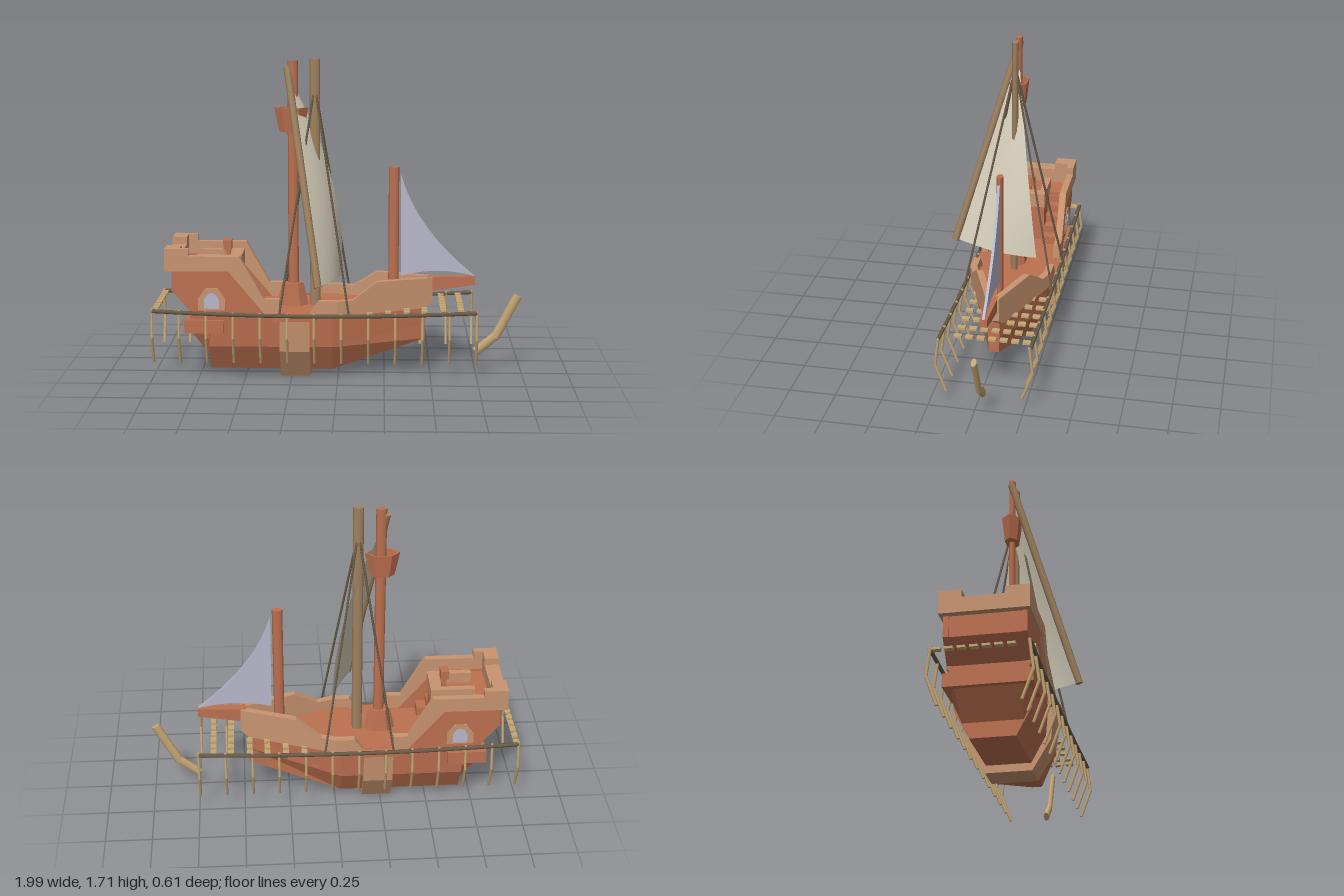
import * as THREE from 'three';
import { toCreasedNormals } from 'three/addons/utils/BufferGeometryUtils.js';

const material = (name, color, side = THREE.FrontSide) => {
  const m = new THREE.MeshStandardMaterial({ color, side });
  m.name = name;
  return m;
};

export function createModel() {
  const redWood = material('red wood', 0xbc7050);
  const tanWood = material('tan trim', 0xc89470);
  const mastWood = material('grey brown wood', 0xa08260);
  const paleWood = material('pale wood', 0xc4a674);
  const darkWood = material('dark wood and rope', 0x6b5c48);
  const canvas = material('main canvas', 0xd9d2be, THREE.DoubleSide);
  const blueCloth = material('blue grey cloth', 0xb8b8cc, THREE.DoubleSide);

  const model = new THREE.Group();
  model.name = 'sailingShip';
  const ship = new THREE.Group(); // everything is symmetric about the keel line
  ship.name = 'ship';
  ship.position.z = -0.045;
  model.add(ship);

  const V = (p) => new THREE.Vector3(...p);
  const add = (name, geometry, mat) => {
    const mesh = new THREE.Mesh(geometry, mat);
    mesh.name = name;
    ship.add(mesh);
    return mesh;
  };
  // Box from its limits on each axis
  const box = (name, x0, x1, y0, y1, z0, z1, mat) => {
    const mesh = add(name, new THREE.BoxGeometry(x1 - x0, y1 - y0, Math.abs(z1 - z0)), mat);
    mesh.position.set((x0 + x1) / 2, (y0 + y1) / 2, (z0 + z1) / 2);
    return mesh;
  };
  // Straight round bar between two points
  const rod = (name, a, b, r, mat, sides = 8) => {
    const from = V(a), dir = V(b).sub(from);
    const mesh = add(name, new THREE.CylinderGeometry(r, r, dir.length(), sides), mat);
    mesh.position.copy(from).addScaledVector(dir, 0.5);
    mesh.quaternion.setFromUnitVectors(new THREE.Vector3(0, 1, 0), dir.normalize());
    return mesh;
  };
  // Faceted solid through equal rings of points, with end caps
  const loft = (name, rings, mat) => {
    const n = rings[0].length, tris = [];
    for (let i = 0; i < rings.length - 1; i++) {
      for (let j = 0; j < n; j++) {
        const k = (j + 1) % n, a = rings[i], b = rings[i + 1];
        tris.push([a[j], b[j], b[k]], [a[j], b[k], a[k]]);
      }
    }
    const last = rings[rings.length - 1];
    for (let j = 1; j < n - 1; j++) {
      tris.push([rings[0][0], rings[0][j], rings[0][j + 1]], [last[0], last[j + 1], last[j]]);
    }
    let volume = 0;
    for (const [a, b, c] of tris) volume += V(a).dot(V(b).cross(V(c)));
    if (volume < 0) tris.forEach((t) => t.reverse());
    const g = new THREE.BufferGeometry();
    g.setAttribute('position', new THREE.Float32BufferAttribute(tris.flat(2), 3));
    g.computeVertexNormals();
    return add(name, g, mat);
  };
  // Side-on outline given thickness between two z values
  const plate = (name, points, z0, z1, mat) => {
    const shape = new THREE.Shape(points.map(([x, y]) => new THREE.Vector2(x, y)));
    const g = new THREE.ExtrudeGeometry(shape, { depth: Math.abs(z1 - z0), bevelEnabled: false });
    g.translate(0, 0, Math.min(z0, z1));
    return add(name, g, mat);
  };

  // Hull: each station is a six-cornered section
  const section = (x, top, topW, midY, midW, keelY, keelW) => [
    [x, top, topW], [x, midY, midW], [x, keelY, keelW],
    [x, keelY, -keelW], [x, midY, -midW], [x, top, -topW]];
  loft('hull', [
    section(-0.79, 0.37, 0.2, 0.31, 0.195, 0.26, 0.17),
    section(-0.69, 0.37, 0.205, 0.22, 0.195, 0.12, 0.15),
    section(-0.689, 0.37, 0.205, 0.18, 0.19, 0.04, 0.115),
    section(-0.03, 0.37, 0.205, 0.18, 0.19, 0.04, 0.115),
    section(0.47, 0.37, 0.032, 0.28, 0.03, 0.19, 0.027)], redWood);
  loft('hullBand', [-0.31, -0.15].map((x) => section(x, 0.34, 0.232, 0.16, 0.215, 0, 0.12)), tanWood);
  box('bandCap', -0.345, -0.11, 0.33, 0.368, -0.235, 0.235, redWood);
  box('sternLedge', -0.82, -0.61, 0.26, 0.33, -0.222, 0.222, redWood);

  // Bow bulwarks: x, outer half width, bottom, top
  const bow = [[-0.15, 0.225, 0.36, 0.37], [-0.1, 0.225, 0.36, 0.44], [0, 0.225, 0.36, 0.44],
    [0.08, 0.195, 0.36, 0.44], [0.21, 0.147, 0.36, 0.53], [0.47, 0.05, 0.365, 0.53], [0.51, 0.035, 0.4, 0.53]];
  for (const s of [1, -1]) {
    loft('bowBulwark', bow.map(([x, w, y0, y1]) => {
      const inner = Math.max(w - 0.038, 0) * s;
      return [[x, y0, w * s], [x, y1, w * s], [x, y1, inner], [x, y0, inner]];
    }), tanWood);
  }
  loft('bowDeck', [[-0.1, 0.2], [0, 0.2], [0.48, 0.03]].map(([x, w]) => [
    [x, 0.365, w], [x, 0.385, w], [x, 0.385, -w], [x, 0.365, -w]]), redWood);
  loft('bowsprit', [[0.48, 0.45, 0.53, 0.027], [0.74, 0.49, 0.535, 0.02]].map(([x, y0, y1, w]) => [
    [x, y0, w], [x, y1, w], [x, y1, -w], [x, y0, -w]]), redWood);

  // Bent prow pole
  for (const [a, b] of [[[0.75, 0.11, 0], [0.86, 0.2, 0]], [[0.855, 0.19, 0], [0.975, 0.425, 0]]]) {
    rod('prowPole', a, b, 0.025, paleWood).scale.z = 0.6;
  }

  // Stern castle
  const sideWall = [[-0.885, 0.61], [-0.885, 0.49], [-0.79, 0.38], [-0.79, 0.36], [-0.37, 0.36], [-0.58, 0.61]];
  const rim = [[-0.92, 0.6], [-0.58, 0.6], [-0.39, 0.37], [-0.31, 0.37], [-0.31, 0.45], [-0.39, 0.45],
    [-0.52, 0.68], [-0.79, 0.68], [-0.79, 0.72], [-0.9, 0.72], [-0.92, 0.72]];
  const frame = [[-0.745, 0.385], [-0.6, 0.385], [-0.6, 0.45], [-0.64, 0.505], [-0.705, 0.505], [-0.745, 0.45]];
  const glass = [[-0.712, 0.395], [-0.633, 0.395], [-0.633, 0.445], [-0.65, 0.472], [-0.672, 0.48],
    [-0.695, 0.472], [-0.712, 0.445]];
  for (const s of [1, -1]) {
    plate('castleWall', sideWall, s * 0.18, s * 0.207, redWood);
    plate('castleRim', rim, s * 0.188, s * 0.225, tanWood);
    plate('windowFrame', frame, s * 0.205, s * 0.214, tanWood);
    plate('windowPane', glass, s * 0.212, s * 0.218, blueCloth);
    box('sternCornerRail', -0.92, -0.84, 0.6, 0.72, s * 0.11, s * 0.19, tanWood);
    // Stairs on each side of the helm platform
    for (let i = 0; i < 5; i++) {
      box('stairStep', -0.72, -0.47 - i * 0.055, 0.36, 0.42 + i * 0.04, s * 0.1, s * 0.185, redWood);
    }
    box('helmRailSide', -0.76, -0.52, 0.58, 0.66, s * 0.065, s * 0.1, tanWood);
  }
  plate('castleBody', [[-0.88, 0.6], [-0.88, 0.49], [-0.785, 0.38], [-0.785, 0.36], [-0.7, 0.36], [-0.7, 0.6]],
    -0.185, 0.185, redWood);
  box('sternRail', -0.92, -0.84, 0.6, 0.68, -0.11, 0.11, tanWood);
  box('helmPlatform', -0.71, -0.53, 0.36, 0.6, -0.098, 0.098, redWood);
  box('helmRailFront', -0.58, -0.52, 0.58, 0.66, -0.066, 0.066, tanWood);
  box('helmPost', -0.615, -0.59, 0.6, 0.7, -0.012, 0.012, redWood);
  box('helmWheel', -0.625, -0.58, 0.68, 0.73, -0.03, 0.03, redWood);

  // Masts, slightly flattened across the ship
  const mast = (name, x, y0, y1, mat) => {
    rod(name, [x, y0, 0], [x, y1, 0], 0.028, mat).scale.z = 0.62;
  };
  mast('mainMast', -0.245, 0.36, 1.7, redWood);
  mast('secondMast', -0.127, 0.36, 1.71, mastWood);
  mast('foreMast', 0.298, 0.36, 1.13, redWood);
  const hexTurned = (name, points, x, y) => {
    const g = new THREE.LatheGeometry(points.map((p) => new THREE.Vector2(...p)), 6, Math.PI / 6);
    const mesh = add(name, toCreasedNormals(g, 0.4), redWood);
    mesh.position.set(x, y, 0);
    mesh.scale.z = 0.58;
  };
  hexTurned('mastBase', [[0, 0], [0.086, 0], [0.058, 0.125], [0, 0.125]], -0.25, 0.368);
  hexTurned('crowsNest', [[0, 0], [0.065, 0], [0.092, 0.13], [0.078, 0.13], [0.055, 0.02], [0, 0.02]], -0.253, 1.32);

  // Main sail on its slanting spar
  rod('mainSpar', [-0.275, 1.67, 0], [-0.1, 0.54, 0.33], 0.02, mastWood);
  const sail = new THREE.PlaneGeometry(1, 1, 8, 12);
  const pos = sail.attributes.position;
  for (let i = 0; i < pos.count; i++) {
    const u = pos.getX(i) + 0.5, v = pos.getY(i) + 0.5;
    const belly = 4 * v * (1 - v);
    const luff = V([-0.11, 0.54, 0.315]).lerp(V([-0.26, 1.6, 0.012]), v);
    const leech = V([0.015, 0.53, -0.145]).lerp(V([-0.26, 1.6, 0.005]), v);
    leech.x += 0.08 * belly;
    leech.z -= 0.01 * belly;
    luff.lerp(leech, u);
    pos.setXYZ(i, luff.x + 0.04 * Math.sin(Math.PI * u) * (1 - v), luff.y, luff.z);
  }
  sail.computeVertexNormals();
  add('mainSail', sail, canvas);

  // Fore sail with hollow edges
  const jib = new THREE.Shape();
  jib.moveTo(0.335, 1.095);
  jib.quadraticCurveTo(0.42, 0.79, 0.74, 0.535);
  jib.quadraticCurveTo(0.54, 0.59, 0.34, 0.535);
  jib.closePath();
  const jibGeometry = new THREE.ExtrudeGeometry(jib, { depth: 0.014, bevelEnabled: false, curveSegments: 8 });
  add('foreSail', jibGeometry.translate(0, 0, -0.007), blueCloth);

  // Shrouds, side rails and rows of bent oars
  const railY = (x) => 0.362 + 0.024 * ((x + 0.125) / 0.87) ** 2;
  for (const s of [1, -1]) {
    for (const x of [-0.31, 0.06]) rod('shroud', [-0.127, 1.57, 0], [x, 0.37, s * 0.24], 0.006, darkWood, 6);
    const path = [];
    for (let i = 0; i < 13; i++) {
      const x = -0.99 + i * 0.1442, y = railY(x);
      path.push(new THREE.Vector3(x, y, s * 0.24));
      rod('oarTop', [x, y + 0.012, s * 0.236], [x, 0.24, s * 0.255], 0.008, paleWood, 6);
      rod('oarBlade', [x, 0.245, s * 0.255], [x, 0.095, s * 0.2], 0.008, paleWood, 6);
    }
    add('sideRail', new THREE.TubeGeometry(new THREE.CatmullRomCurve3(path), 24, 0.011, 6), darkWood);
  }

  // Rows of small cross planks beyond the stern and around the bow
  for (const x of [-0.98, 0.17, 0.27, 0.37, 0.465, 0.565, 0.66]) {
    const hullHalf = x < -0.9 || x > 0.51 ? -1 : 0.225 - x * 0.37;
    for (let i = 0; i < 7; i++) {
      const z = -0.21 + i * 0.06;
      if (Math.abs(z) + 0.02 < hullHalf) continue;
      box('crossPlank', x - 0.016, x + 0.016, railY(x) - 0.008, railY(x) + 0.004, z - 0.02, z + 0.02, paleWood);
    }
  }
  return model;
}
